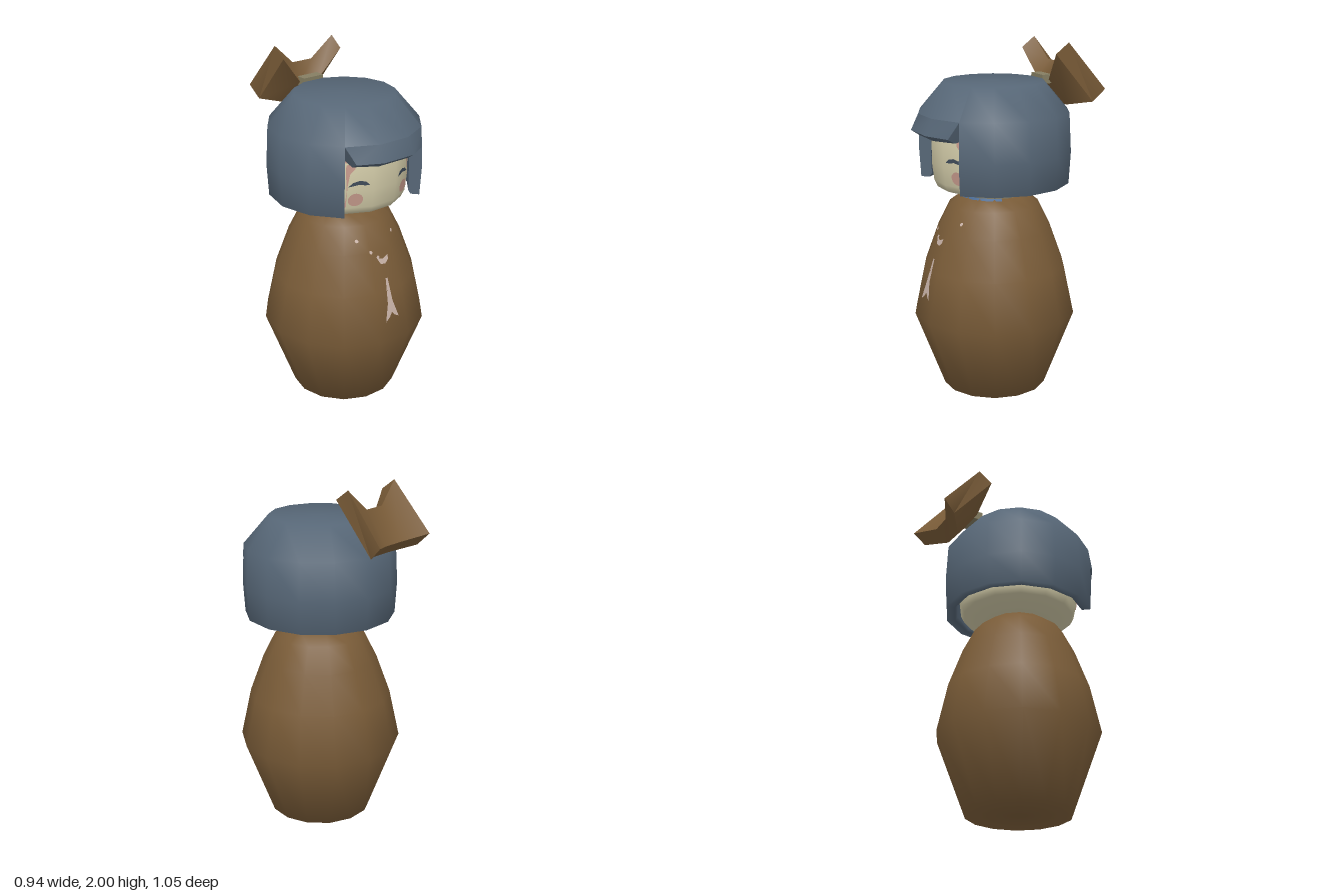
import * as THREE from 'three';
import { toCreasedNormals } from 'three/addons/utils/BufferGeometryUtils.js';

const SIDES = 14, STEP = (Math.PI * 2) / SIDES, AXIS_Z = 0.065;
const EDGE = 1.5 * STEP; // angle from the front where the fringe meets the side hair

const mat = (name, color) => {
  const m = new THREE.MeshStandardMaterial({ color, side: THREE.DoubleSide });
  m.name = name;
  return m;
};
const vec = (pts) => pts.map(([x, y]) => new THREE.Vector2(x, y));

// profiles as radius, height
const BODY = [[0, 0], [0.30, 0], [0.47, 0.45], [0.41, 0.73], [0.33, 0.95], [0.26, 1.09], [0.18, 1.15], [0, 1.15]];
const HEAD = [[0, 1.145], [0.17, 1.147], [0.325, 1.2], [0.345, 1.24], [0.357, 1.34], [0.357, 1.5], [0.3, 1.7], [0, 1.72]];
const HAIR_WALL = [[0.367, 1.62], [0.367, 1.24], [0.38, 1.22], [0.43, 1.22], [0.441, 1.4], [0.43, 1.62]];
const CROWN = [[0.43, 1.62], [0.285, 1.79], [0, 1.79]];

// depth of a faceted lathe's front surface at x, y
function frontZ(profile, x, y) {
  let r = 0;
  for (let i = 0; i + 1 < profile.length; i++) {
    const [r0, y0] = profile[i], [r1, y1] = profile[i + 1];
    if (y >= y0 && y <= y1 && y1 > y0) r = r0 + ((r1 - r0) * (y - y0)) / (y1 - y0);
  }
  const ax = Math.abs(x);
  for (let k = 0; k < 3; k++) {
    const a = Math.max(0, (k - 0.5) * STEP), b = (k + 0.5) * STEP;
    const xa = k ? r * Math.sin(a) : 0, xb = r * Math.sin(b);
    const za = r * Math.cos(k ? a : b), zb = r * Math.cos(b);
    if (ax <= xb) return AXIS_Z + za + ((zb - za) * (ax - xa)) / (xb - xa);
  }
  return AXIS_Z;
}

// loft rows of [x, y, z] points; closed rows make a tube with capped ends
function loft(rows, closed) {
  const n = rows[0].length, index = [];
  const cols = closed ? n : n - 1;
  for (let i = 0; i + 1 < rows.length; i++)
    for (let j = 0; j < cols; j++) {
      const a = i * n + j, b = i * n + ((j + 1) % n), c = a + n, d = b + n;
      index.push(a, c, b, b, c, d);
    }
  if (closed) {
    const e = (rows.length - 1) * n;
    for (let j = 1; j + 1 < n; j++) index.push(0, j, j + 1, e, e + j + 1, e + j);
  }
  const g = new THREE.BufferGeometry();
  g.setAttribute('position', new THREE.Float32BufferAttribute(rows.flat(2), 3));
  g.setIndex(index);
  return toCreasedNormals(g, 0.9);
}

export function createModel() {
  const group = new THREE.Group();
  const brown = mat('brown', 0x7a5c38), slate = mat('slate hair', 0x566676);
  const cream = mat('cream skin', 0xd2cba8), rose = mat('rose', 0xc69a8c);
  const ink = mat('dark slate', 0x3f4b59), pale = mat('pale pink', 0xc9b3a8);
  const blue = mat('collar blue', 0x486890), olive = mat('olive', 0x857e62);

  const add = (name, geo, material) => {
    const m = new THREE.Mesh(geo, material);
    m.name = name;
    group.add(m);
    return m;
  };
  const turned = (name, pts, material, start = STEP / 2, segs = SIDES) => {
    const g = new THREE.LatheGeometry(vec(pts), segs, start, segs * STEP);
    add(name, g, material).position.z = AXIS_Z;
  };
  // flat painted shape laid on a turned surface
  const paint = (name, pts, profile, material, side = 1) => {
    const g = new THREE.ShapeGeometry(new THREE.Shape(vec(pts.map(([x, y]) => [x * side, y]))));
    const p = g.attributes.position;
    for (let i = 0; i < p.count; i++) p.setZ(i, frontZ(profile, p.getX(i), p.getY(i)) + 0.005);
    g.computeVertexNormals();
    add(name, g, material);
  };
  const disc = (cx, cy, r, n) => Array.from({ length: n }, (_, i) => {
    const a = (i / n) * Math.PI * 2;
    return [cx + r * Math.cos(a), cy + r * Math.sin(a)];
  });

  // turned body, head and a sliver of collar
  turned('body', BODY, brown);
  turned('head', HEAD, cream);
  turned('collar', [[0.195, 1.141], [0.182, 1.153]], blue, 0, 3);

  // hair: side and back shell, front crown, end walls beside the face
  turned('hair', [...HAIR_WALL, ...CROWN.slice(1)], slate, EDGE, SIDES - 3);
  turned('hairCrown', CROWN, slate, -EDGE, 3);
  for (const s of [-1, 1]) {
    const wall = new THREE.ShapeGeometry(new THREE.Shape(vec(HAIR_WALL)));
    wall.rotateY(s * EDGE - Math.PI / 2);
    add('hairEdge', wall, slate).position.z = AXIS_Z;
  }

  // fringe flaring forward over the forehead
  const fringeRow = (xo, zo, bx, bz, yTip) => [
    [xo, 1.62, zo], [bx, yTip, bz], [bx * 0.97, 1.5, bz - 0.045], [xo * 0.8, 1.52, zo - 0.09], [xo * 0.8, 1.62, zo - 0.09],
  ];
  const rim = (a) => [0.43 * Math.sin(a), AXIS_Z + 0.43 * Math.cos(a)];
  const [x1, z1] = rim(STEP / 2), [x2, z2] = rim(EDGE);
  add('fringe', loft([
    fringeRow(-x2, z2, -0.228, 0.45, 1.525), fringeRow(-x1, z1, -0.105, 0.525, 1.53),
    fringeRow(x1, z1, 0.105, 0.525, 1.53), fringeRow(x2, z2, 0.228, 0.45, 1.525),
  ], true), slate);

  // painted face
  for (const s of [-1, 1]) {
    paint('eye', [[0.1, 1.372], [0.118, 1.393], [0.15, 1.4], [0.185, 1.39], [0.207, 1.368],
      [0.18, 1.372], [0.15, 1.378], [0.125, 1.372]], HEAD, ink, s);
    paint('cheek', disc(0.168, 1.29, 0.038, 16), HEAD, rose, s);
    paint('temple', [[0.221, 1.24], [0.221, 1.52], [0.165, 1.52], [0.172, 1.47], [0.198, 1.44],
      [0.21, 1.38], [0.213, 1.25]], HEAD, rose, s);
  }

  // painted flecks on the front of the body
  paint('sashMark', [[-0.008, 0.8], [0.006, 0.8], [0.014, 0.67], [0.045, 0.57], [0.018, 0.585], [0, 0.605],
    [-0.02, 0.58], [-0.05, 0.56], [-0.022, 0.66]], BODY, pale);
  paint('chestMark', [[-0.04, 0.918], [0, 0.905], [0.04, 0.92], [0.036, 0.895], [0.012, 0.876],
    [-0.02, 0.88]], BODY, pale);
  for (const [x, y] of [[-0.125, 1.018], [0.125, 1.018], [-0.07, 0.955], [-0.03, 0.92]])
    paint('fleck', disc(x, y, 0.01, 6), BODY, pale);

  // bow at the back of the head, lofted across x
  const wing = (s) => [[0.2 * s, 2.0, -0.30], [0.2 * s, 1.94, -0.22], [0.205 * s, 1.66, -0.46], [0.22 * s, 1.73, -0.53]];
  const waist = (s) => [[0.065 * s, 1.88, -0.32], [0.065 * s, 1.78, -0.25], [0.065 * s, 1.63, -0.37], [0.065 * s, 1.70, -0.45]];
  add('bow', loft([wing(-1), waist(-1), waist(1), wing(1)], true), brown);
  add('bowTie', new THREE.BoxGeometry(0.135, 0.05, 0.08), olive).position.set(0, 1.785, -0.25);

  return group;
}
